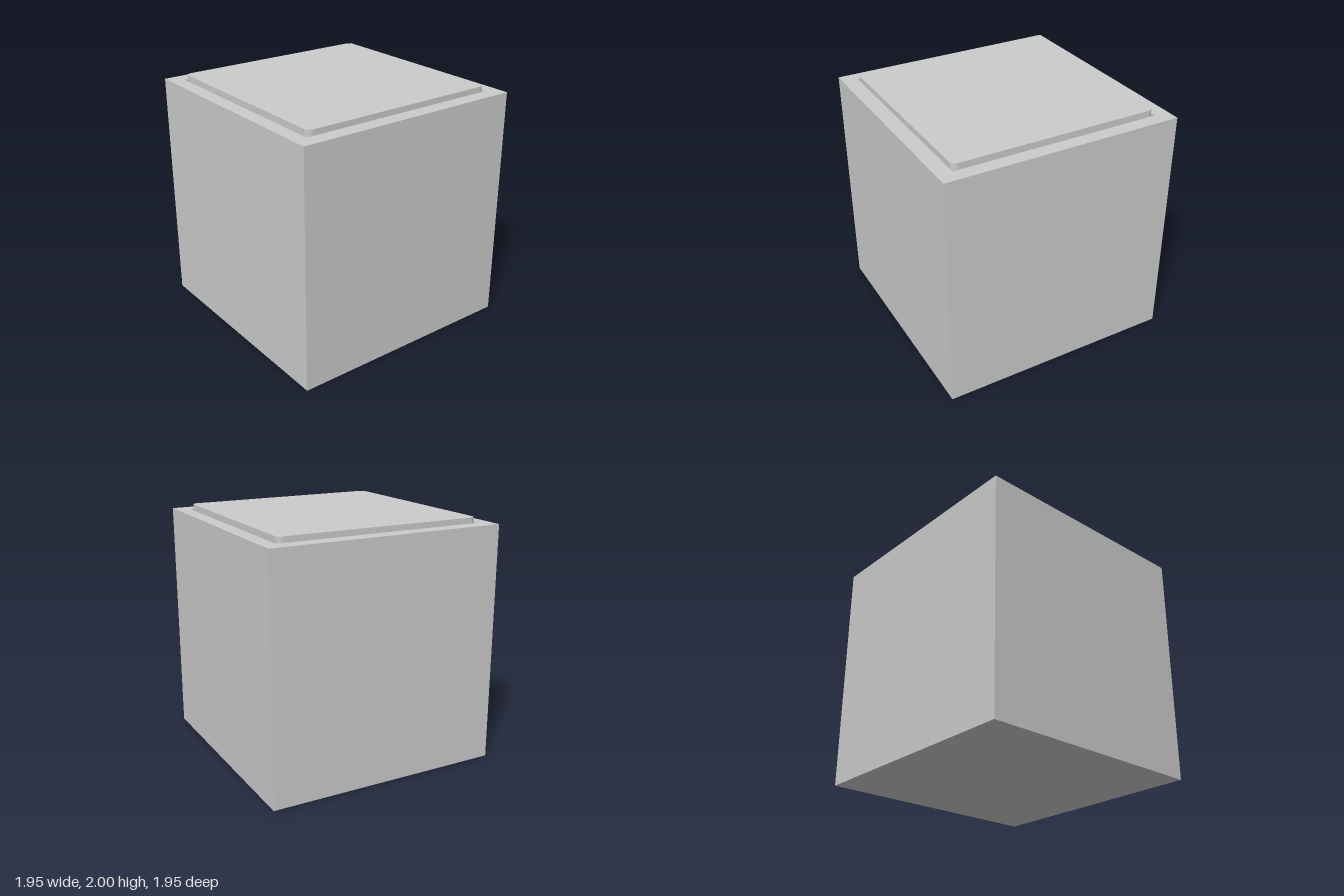
import * as THREE from 'three';

const HALF = 0.977;        // half width of the box
const RIM = 1.954;         // height of the box rim
const POCKET_X = 0.853;    // half size of the square-cornered opening
const POCKET_Z = 0.863;
const FLOOR = 0.12;        // floor thickness
const LID = 0.851;         // half width of the lid
const LID_THICK = 0.13;

const material = () => new THREE.MeshStandardMaterial({ color: 0xcccccc });

// Open box: a wall-and-floor profile swept round four corners
function createBox() {
  const profile = [
    [0, 0], [HALF, 0], [HALF, RIM],
    [POCKET_X, RIM], [POCKET_X, FLOOR], [0, FLOOR],
  ].map(([half, y]) => new THREE.Vector2(half * Math.SQRT2, y));
  const geometry = new THREE.LatheGeometry(profile, 4, Math.PI / 4).toNonIndexed();

  // Widen the opening slightly from front to back
  const position = geometry.attributes.position;
  for (let i = 0; i < position.count; i++) {
    const z = position.getZ(i);
    if (Math.abs(Math.abs(z) - POCKET_X) < 0.001) position.setZ(i, Math.sign(z) * POCKET_Z);
  }
  geometry.computeVertexNormals();

  const box = new THREE.Mesh(geometry, material());
  box.name = 'box';
  return box;
}

// Flat lid with rounded vertical corners, seated in the opening
function createLid() {
  const radius = 0.05, c = LID - radius;
  const shape = new THREE.Shape();
  shape.absarc(c, c, radius, 0, Math.PI / 2);
  shape.absarc(-c, c, radius, Math.PI / 2, Math.PI);
  shape.absarc(-c, -c, radius, Math.PI, Math.PI * 1.5);
  shape.absarc(c, -c, radius, Math.PI * 1.5, Math.PI * 2);
  shape.closePath();
  const geometry = new THREE.ExtrudeGeometry(shape, {
    depth: LID_THICK, bevelEnabled: false, curveSegments: 8,
  });
  geometry.rotateX(-Math.PI / 2);

  const lid = new THREE.Mesh(geometry, material());
  lid.name = 'lid';
  lid.position.y = 2 - LID_THICK;
  return lid;
}

export function createModel() {
  const model = new THREE.Group();
  model.name = 'lidded box';
  model.add(createBox(), createLid());
  return model;
}
